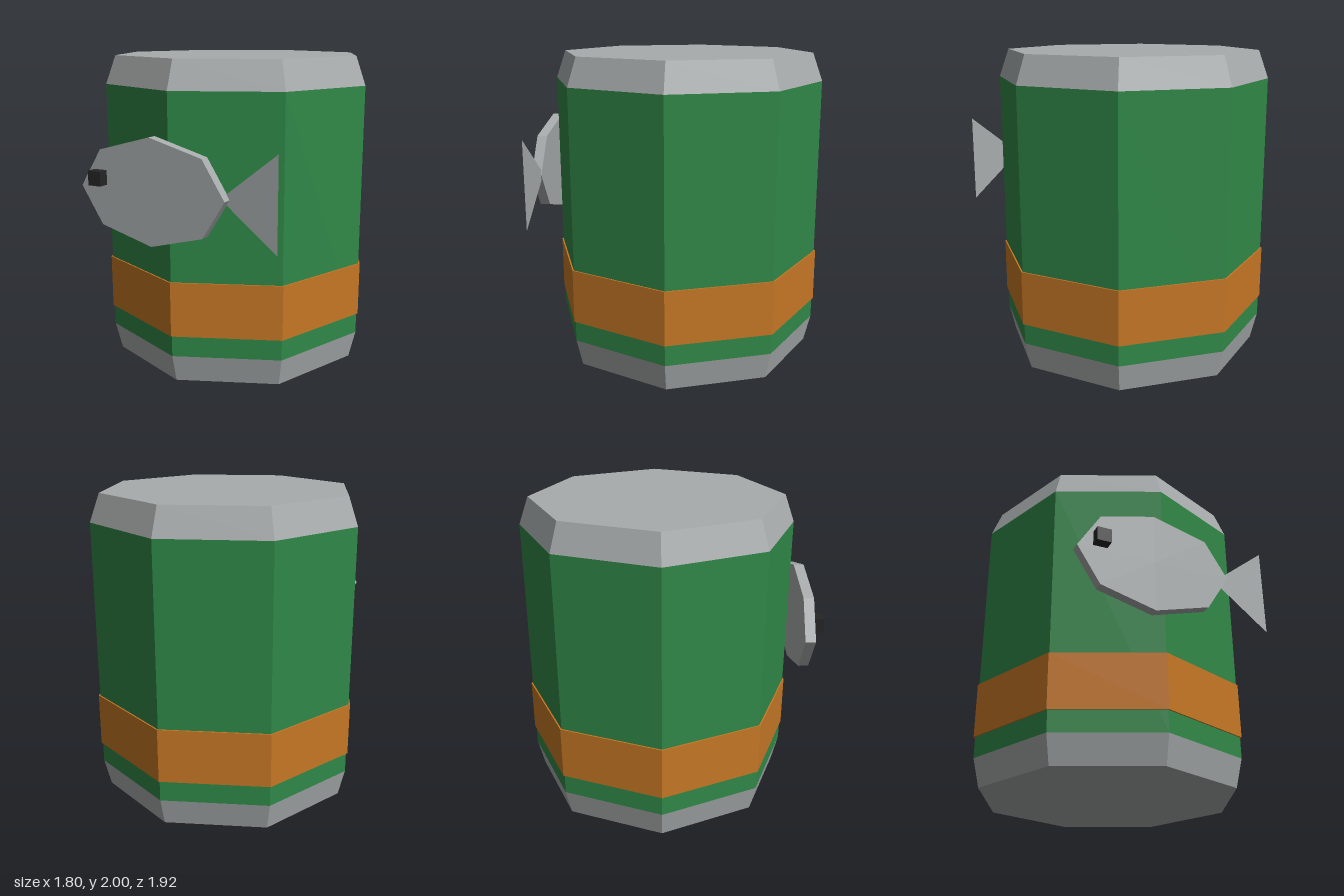
import * as THREE from 'three';

export function createModel() {
  const model = new THREE.Group();
  model.name = 'fishBarrel';

  const mat = (name, color, extra = {}) => {
    const m = new THREE.MeshStandardMaterial({ color, flatShading: true, ...extra });
    m.name = name;
    return m;
  };
  const green = mat('green', 0x308848);
  const grey = mat('grey', 0xa8acac, { side: THREE.DoubleSide });
  const orange = mat('orange', 0xc67725);
  const black = mat('black', 0x262626);

  const add = (name, geometry, material, x = 0, y = 0, z = 0) => {
    const mesh = new THREE.Mesh(geometry, material);
    mesh.name = name;
    mesh.position.set(x, y, z);
    model.add(mesh);
    return mesh;
  };

  // Eight-sided barrel sections, each turned from a profile of [radius, height]
  const turned = (name, profile, material) =>
    add(name, new THREE.LatheGeometry(profile.map(([r, y]) => new THREE.Vector2(r, y)), 8),
      material, 0, 0, -0.06);
  turned('bottomRim', [[0, 0], [0.845, 0], [0.888, 0.18]], grey);
  turned('barrelWall', [[0.888, 0.18], [0.888, 1.82]], green);
  turned('topLid', [[0.888, 1.82], [0.823, 2], [0, 2]], grey);
  turned('band', [[0.88, 0.315], [0.898, 0.315], [0.898, 0.665], [0.88, 0.665]], orange);

  // Fish body: a flattened octagonal slab
  const body = new THREE.CylinderGeometry(1, 1, 0.065, 8);
  body.rotateX(Math.PI / 2);
  body.scale(0.5, 0.33, 1);
  add('fishBody', body, grey, -0.09, 1.225, 0.862);

  // Fish tail: a flat triangle
  const tail = new THREE.Shape([
    new THREE.Vector2(0.35, 1.225),
    new THREE.Vector2(0.71, 0.938),
    new THREE.Vector2(0.71, 1.512),
  ]);
  add('fishTail', new THREE.ShapeGeometry(tail), grey, 0, 0, 0.835);

  // Fish eye
  add('fishEye', new THREE.BoxGeometry(0.09, 0.09, 0.09), black, -0.445, 1.29, 0.915);

  return model;
}
